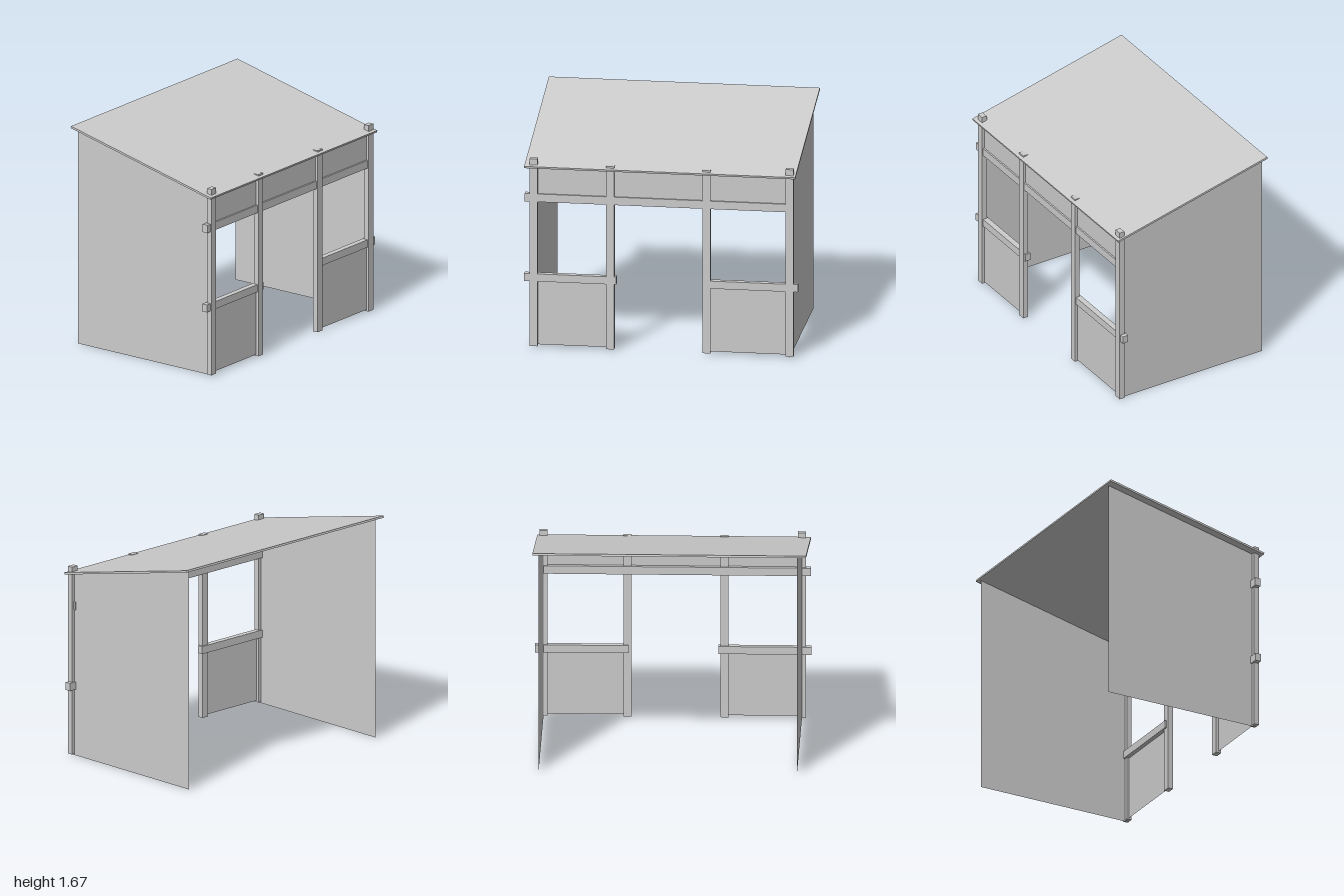
import * as THREE from 'three';

export function createModel() {
  const model = new THREE.Group();
  model.name = 'shelter';
  const solid = new THREE.MeshStandardMaterial({ color: 0xcccccc, flatShading: true });
  const sheet = new THREE.MeshStandardMaterial({ color: 0xcccccc, flatShading: true, side: THREE.DoubleSide });

  const add = (name, geometry, material) => {
    const mesh = new THREE.Mesh(geometry, material);
    mesh.name = name;
    model.add(mesh);
    return mesh;
  };
  // Box given by its extents on each axis
  const beam = (name, [x0, x1], [y0, y1], [z0, z1]) =>
    add(name, new THREE.BoxGeometry(x1 - x0, y1 - y0, z1 - z0), solid)
      .position.set((x0 + x1) / 2, (y0 + y1) / 2, (z0 + z1) / 2);
  // Thin upright sheet facing the front
  const panel = (name, [x0, x1], [y0, y1]) =>
    add(name, new THREE.PlaneGeometry(x1 - x0, y1 - y0), sheet)
      .position.set((x0 + x1) / 2, (y0 + y1) / 2, 0.595);

  // Sloping roof slab
  const slope = 0.2256;
  const roof = add('roof', new THREE.BoxGeometry(1.98, 0.015, 1.308), solid);
  roof.position.set(-0.005, 1.5135, 0);
  roof.rotation.x = slope;

  // Side walls, cut along the underside of the roof
  const under = (z) => 1.505 - z * Math.tan(slope);
  const profile = new THREE.Shape([
    new THREE.Vector2(-0.62, 0), new THREE.Vector2(0.6, 0),
    new THREE.Vector2(0.6, under(0.6)), new THREE.Vector2(-0.62, under(-0.62)),
  ]);
  for (const [name, x] of [['rightWall', -0.93], ['leftWall', 0.94]]) {
    add(name, new THREE.ShapeGeometry(profile).rotateY(-Math.PI / 2), sheet).position.x = x;
  }

  // Front posts, their tops passing through the roof
  const postDepth = [0.575, 0.615];
  for (const [name, x, top] of [
    ['rightCornerPost', -0.93, 1.425], ['rightDoorPost', -0.37, 1.392],
    ['leftDoorPost', 0.333, 1.392], ['leftCornerPost', 0.94, 1.425],
  ]) beam(name, [x - 0.029, x + 0.029], [0.01, top], postDepth);

  // Horizontal rails
  const railDepth = [0.563, 0.607];
  beam('upperRail', [-0.995, 0.95], [1.1, 1.16], railDepth);
  beam('rightLowerRail', [-1, -0.327], [0.498, 0.555], railDepth);
  beam('leftLowerRail', [0.325, 1], [0.498, 0.555], railDepth);

  // Front infill panels
  panel('upperPanel', [-0.93, 0.94], [1.1, 1.368]);
  panel('rightLowerPanel', [-0.93, -0.37], [0.02, 0.52]);
  panel('leftLowerPanel', [0.333, 0.94], [0.02, 0.52]);

  return model;
}
